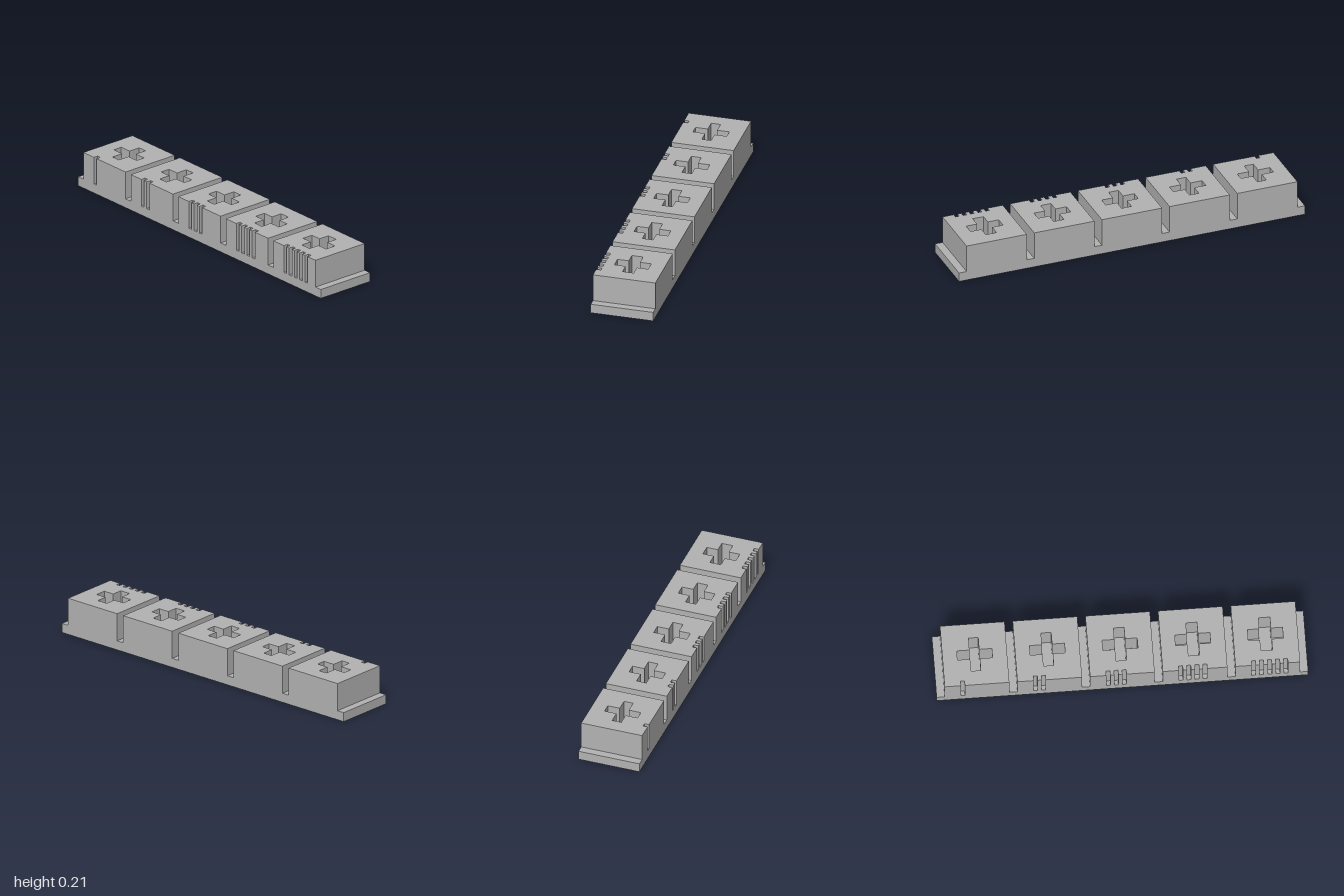
import * as THREE from 'three';

const U = 1 / 23;            // module unit: the strip is 46 units long
const BASE = 1.2 * U;        // base plate thickness
const HEIGHT = 4.8 * U;      // overall height
const SIZE = 8;              // block side in units
const PITCH = 9;             // spacing between block centres in units

// Plus-shaped hole outline
function crossPath(arm, half) {
  const pts = [
    [-half, -arm], [-half, arm], [-arm, arm], [-arm, half], [arm, half], [arm, arm],
    [half, arm], [half, -arm], [arm, -arm], [arm, -half], [-arm, -half], [-arm, -arm],
  ];
  return new THREE.Path(pts.map(([x, y]) => new THREE.Vector2(x * U, y * U)));
}

// Square block footprint with counting grooves cut into its front edge
function blockGeometry(grooves, arm) {
  const h = SIZE / 2, width = 0.5, depth = 0.6;
  const pts = [[-h, -h]];
  for (let i = 0; i < grooves; i++) {
    const x = -h + 2 + i;
    pts.push([x, -h], [x, -h + depth], [x + width, -h + depth], [x + width, -h]);
  }
  pts.push([h, -h], [h, h], [-h, h]);
  const shape = new THREE.Shape(pts.map(([x, y]) => new THREE.Vector2(x * U, y * U)));
  shape.holes.push(crossPath(arm, 2.17));
  const geo = new THREE.ExtrudeGeometry(shape, { depth: HEIGHT - BASE, bevelEnabled: false });
  return geo.rotateX(-Math.PI / 2);
}

export function createModel() {
  const group = new THREE.Group();
  const grey = new THREE.MeshStandardMaterial({ color: 0xb2b2b2 });
  grey.name = 'plain grey';

  // Base plate
  const base = new THREE.Mesh(new THREE.BoxGeometry(46 * U, BASE, SIZE * U), grey);
  base.name = 'basePlate';
  base.position.y = BASE / 2;
  group.add(base);

  // Five gauge blocks, numbered by their grooves
  for (let i = 0; i < 5; i++) {
    const block = new THREE.Mesh(blockGeometry(i + 1, 0.6 + 0.03 * i), grey);
    block.name = `gaugeBlock${i + 1}`;
    block.position.set((i - 2) * PITCH * U, BASE, 0);
    group.add(block);
  }
  return group;
}
